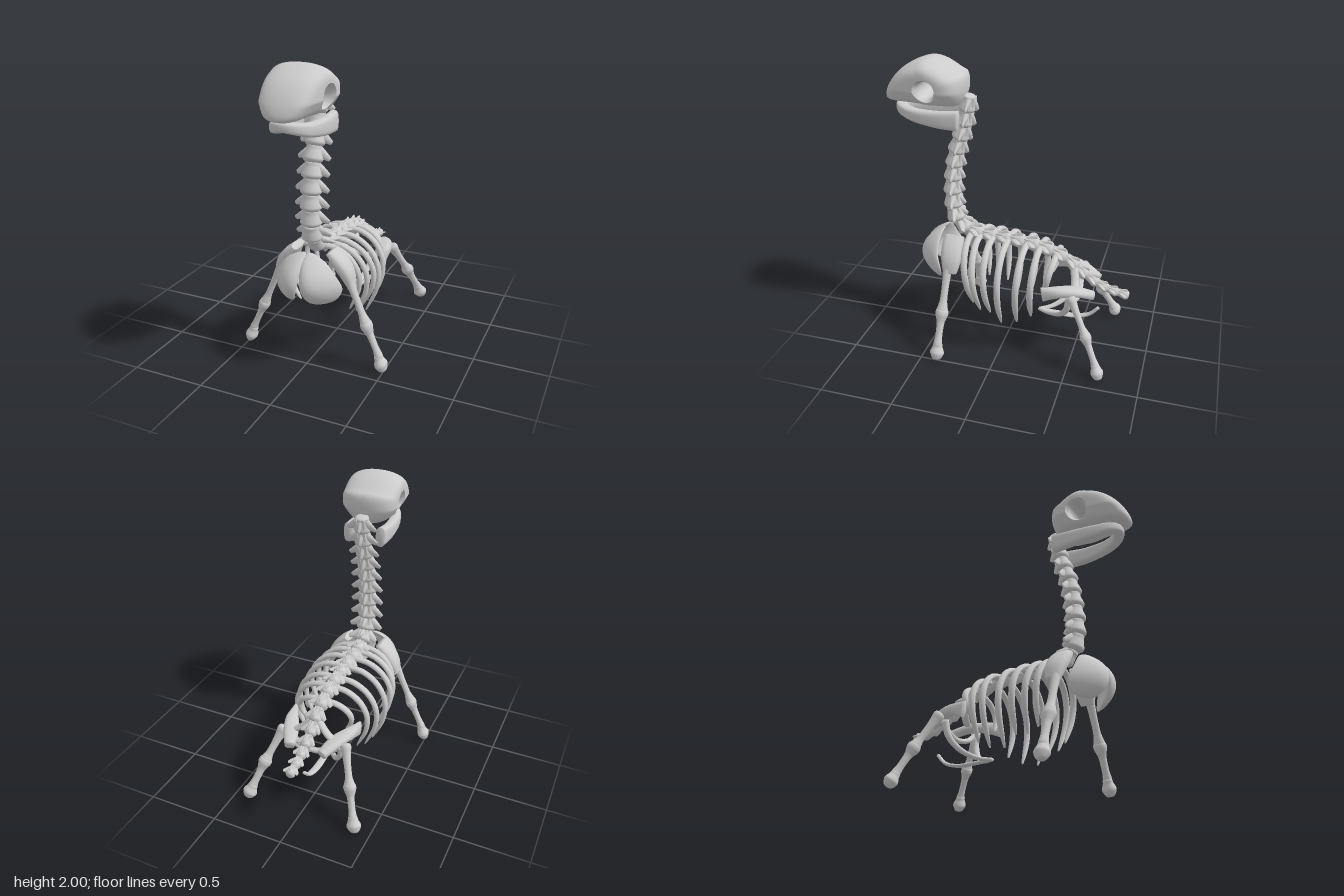
import * as THREE from 'three';
import { mergeGeometries } from 'three/addons/utils/BufferGeometryUtils.js';

const V = (x, y, z) => new THREE.Vector3(x, y, z);
const material = new THREE.MeshStandardMaterial({ color: 0xcccccc, side: THREE.DoubleSide });

function mesh(name, geometry) {
  const m = new THREE.Mesh(geometry, material);
  m.name = name;
  return m;
}

// Surface from rows of points; each row closes on itself
function grid(rows, cols, fn) {
  const pos = [], idx = [];
  for (let r = 0; r < rows; r++) for (let c = 0; c < cols; c++) pos.push(...fn(r, c).toArray());
  for (let r = 0; r < rows - 1; r++) for (let c = 0; c < cols; c++) {
    const a = r * cols + c, b = r * cols + (c + 1) % cols;
    idx.push(a, b, a + cols, b, b + cols, a + cols);
  }
  const g = new THREE.BufferGeometry();
  g.setAttribute('position', new THREE.Float32BufferAttribute(pos, 3));
  g.setIndex(idx);
  g.computeVertexNormals();
  return g;
}

// Capped sweep: radii(t) = [across, along ref], squareness by power
function sweep(points, ref, radii, power = 1, rows = 32, cols = 14) {
  const curve = new THREE.CatmullRomCurve3(points.map(p => V(...p)));
  const bend = v => Math.sign(v) * Math.abs(v) ** power;
  return grid(rows + 3, cols, (r, c) => {
    const t = THREE.MathUtils.clamp((r - 1) / rows, 0, 1);
    const cap = r === 0 || r === rows + 2 ? 0 : 1;
    const T = curve.getTangentAt(t);
    const N = T.clone().cross(ref).normalize(), B = N.clone().cross(T);
    const [ra, rb] = radii(t), a = -c / cols * Math.PI * 2;
    return curve.getPointAt(t).addScaledVector(N, cap * ra * bend(Math.cos(a))).addScaledVector(B, cap * rb * bend(Math.sin(a)));
  });
}

// Turned bone from a to b, slightly flattened; profile pairs are [radius, fraction of length]
function bone(name, a, b, profile) {
  const A = V(...a), d = V(...b).sub(A), len = d.length();
  const pts = new THREE.SplineCurve(profile.map(([r, t]) => new THREE.Vector2(r, t * len))).getPoints(36);
  pts.forEach(p => { p.x = Math.max(p.x, 0); });
  const m = mesh(name, new THREE.LatheGeometry(pts, 18));
  m.position.copy(A);
  m.quaternion.setFromUnitVectors(V(0, 1, 0), d.normalize());
  m.scale.x = .85;
  return m;
}

// Unit vertebra: +z headward, +y dorsal
function vertebraGeometry() {
  const body = new THREE.LatheGeometry(new THREE.SplineCurve([[0, -.62], [.4, -.58], [.62, -.38], [.58, -.12], [.47, .25], [.42, .52], [0, .58]]
    .map(p => new THREE.Vector2(...p))).getPoints(20).map(p => p.setX(Math.max(0, p.x))), 18);
  body.rotateX(Math.PI / 2);
  const horn = (points, ra, rb) => sweep(points, V(0, 0, 1), t => [ra * (1 - .75 * t), rb * (1 - .65 * t)], 1, 8, 10);
  const parts = [body, horn([[0, .2, .15], [0, .5, -.05], [0, .78, -.3]], .22, .4)];
  for (const s of [-1, 1]) {
    parts.push(horn([[s * .25, .1, .1], [s * .65, .14, -.1], [s * 1.0, .18, -.3]], .26, .4));
    parts.push(horn([[s * .2, .35, -.45], [s * .24, .38, 0], [s * .26, .4, .5]], .2, .2));
  }
  parts.forEach(p => p.deleteAttribute('uv'));
  return mergeGeometries(parts);
}

function buildSpine() {
  const group = new THREE.Group();
  group.name = 'spine';
  const curve = new THREE.CatmullRomCurve3([[1.73, .275], [1.55, .315], [1.37, .37], [1.18, .4], [1.02, .405], [.9, .39], [.815, .33],
    [.77, .23], [.75, .03], [.73, -.2], [.665, -.39], [.55, -.55], [.475, -.68], [.44, -.82]].map(([y, z]) => V(0, y, z)));
  const geo = vertebraGeometry(), L = curve.getLength();
  for (let d = .02; d < L;) {
    const u = d / L, tail = THREE.MathUtils.smoothstep(u, .72, 1);
    const trunk = THREE.MathUtils.smoothstep(u, .38, .5);
    const step = .102 - .03 * tail;
    const t = curve.getTangentAt(u).negate(), X = V(1, 0, 0);
    const m = mesh('vertebra', geo);
    m.quaternion.setFromRotationMatrix(new THREE.Matrix4().makeBasis(X, t.clone().cross(X), t));
    m.position.copy(curve.getPointAt(u));
    const w = (.1 + .018 * Math.min(1, u / .35)) * (1 - .34 * trunk) * (1 - .34 * tail);
    m.scale.set(w, w * (.92 + .1 * trunk), step);
    group.add(m);
    d += step;
  }
  return group;
}

// Skull: each half spans from the eye rim to the side outline
function buildSkull() {
  const group = new THREE.Group();
  group.name = 'skull';
  const outline = new THREE.CatmullRomCurve3([[.83, 1.72], [.82, 1.775], [.77, 1.86], [.69, 1.935], [.545, 1.997], [.455, 1.98], [.34, 1.92],
    [.295, 1.895], [.286, 1.79], [.307, 1.73], [.335, 1.697], [.455, 1.694], [.667, 1.698], [.81, 1.705]].map(([z, y]) => V(0, y, z)), true);
  const eye = V(0, 1.812, .513), rings = 24, cols = 96;
  const rim = (p, r) => p.clone().sub(eye).setLength(r).add(eye);
  const width = p => (.19 - .12 * Math.max(0, p.z - .5)) * (1 - 3.2 * Math.max(0, 1.8 - p.y));
  const half = grid(rings + 1, cols, (r, c) => {
    const p = outline.getPointAt(c / cols), s = Math.sin(r / rings * Math.PI / 2);
    const q = rim(p, .077).lerp(p, s);
    const blunt = 3 + 14 * Math.max(0, p.z - .6);
    return q.setX(width(q) * Math.max(0, 1 - s ** blunt) ** .45);
  });
  const socket = grid(3, cols, (r, c) => {
    const q = rim(outline.getPointAt(c / cols), r === 2 ? .077 : .06);
    return q.setX(width(q) * [0, .82, 1][r]);
  });
  addPair(group, mesh('skullHalf', half));
  addPair(group, mesh('eyeSocket', socket));
  return group;
}

function addPair(group, ...parts) {
  for (const side of [1, -1]) {
    const g = new THREE.Group();
    g.name = (side > 0 ? 'left ' : 'right ') + parts[0].name;
    g.scale.x = side;
    parts.forEach(p => g.add(p.clone()));
    group.add(g);
  }
}

// Breastbone leaf: rounded plate bent backward at its rim
function chestPlate() {
  const outline = new THREE.CatmullRomCurve3([[.005, .79], [.12, .755], [.2, .66], [.23, .56], [.18, .48], [.075, .475], [.035, .53], [.005, .65]]
    .map(([x, y]) => V(x, y, 0)), true);
  const centre = V(.12, .61, 0), n = 24, cols = 56;
  return grid(n + 1, cols, (r, c) => {
    const a = (r / n - .5) * Math.PI;
    const p = centre.clone().lerp(outline.getPointAt(c / cols), Math.cos(a));
    return p.setZ(.605 - 3 * p.x ** 2 - 3.6 * (p.y - .6) ** 2 + .045 * Math.sin(a));
  });
}

export function createModel() {
  const model = new THREE.Group();
  model.name = 'skeleton';
  model.add(buildSpine(), buildSkull());
  const Y = V(0, 1, 0), Z = V(0, 0, 1);

  // Lower jaw, a horseshoe open at the back
  const jawSide = [[.115, 1.62, .31], [.122, 1.62, .45], [.1, 1.635, .63], [.06, 1.655, .71]];
  const jaw = [...jawSide, [0, 1.665, .735], ...jawSide.map(([x, y, z]) => [-x, y, z]).reverse()];
  model.add(mesh('lowerJaw', sweep(jaw, Y, t => {
    const m = Math.abs(2 * t - 1);
    return [.04 - .008 * m, .03 + .037 * m];
  }, .65, 60, 24)));

  // Ribs: [top z, top y, half width, tip y, tip z]
  const ribs = [[.27, .77, .27, .31, .215], [.205, .765, .3, .27, .155], [.115, .76, .315, .27, .08], [.005, .755, .315, .2, 0],
    [-.13, .745, .3, .22, -.11], [-.225, .73, .27, .27, -.205], [-.34, .69, .195, .45, -.285]];
  for (const [z, y, w, tipY, tipZ] of ribs) {
    const at = (fx, fy) => [w * fx, y + (tipY - y) * fy, z + (tipZ - z) * fy];
    addPair(model, mesh('rib', sweep([at(.06, 0), at(.45, .03), at(.78, .16), at(.97, .38), at(.95, .65), at(.7, 1)], Z,
      t => [.018 * (1 - .75 * t ** 6), .023 * (1 - .75 * t ** 8)])));
  }

  // Shoulder and breast
  addPair(model, mesh('chestPlate', chestPlate()));
  addPair(model, mesh('shoulderBlade', sweep([[.12, .785, .36], [.17, .73, .36], [.225, .65, .355], [.26, .565, .355]], Z,
    t => [.026 + .018 * Math.sin(t * Math.PI), .07 + .022 * Math.sin(t * 2.6) - .035 * t], .8)));

  // Legs: upper bone, lower bone and foot
  const upper = [[0, -.03], [.032, 0], [.04, .08], [.033, .22], [.026, .5], [.026, .78], [.034, .9], [.037, .98], [0, 1.03]];
  const lower = [[0, -.08], [.038, -.05], [.046, .06], [.036, .18], [.027, .3], [.025, .6], [.03, .85], [0, .95]];
  const foot = [[0, 0], [.03, .04], [.036, .25], [.05, .55], [.044, .75], [.026, .97], [0, 1]];
  const legs = { front: [[.22, .67, .37], [.37, .32, .38], [.487, .06, .387], [.458, .115, .385], [.5, .005, .388]],
    hind: [[.225, .5, -.485], [.312, .275, -.61], [.39, .05, -.72], [.37, .105, -.693], [.405, .008, -.732]] };
  for (const [name, [top, knee, ankle, heel, toe]] of Object.entries(legs)) {
    addPair(model, bone(name + 'UpperLeg', top, knee, upper), bone(name + 'LowerLeg', knee, ankle, lower), bone(name + 'Foot', heel, toe, foot));
  }

  // Pelvis: side blades, struts to the spine and curved lower bones
  addPair(model,
    mesh('hipBlade', sweep([[.24, .495, -.29], [.21, .515, -.4], [.165, .51, -.5], [.115, .47, -.62]], Y,
      t => [.018 + .034 * Math.sin(t * Math.PI * .85), .055 - .07 * t + .045 * t * t], .85)),
    mesh('hipStrut', sweep([[.17, .5, -.5], [.1, .54, -.49], [.01, .63, -.46]], Z, () => [.02, .028])),
    mesh('pubicBone', sweep([[.185, .46, -.47], [.17, .36, -.45], [.12, .28, -.4], [.05, .225, -.31], [0, .212, -.22]], Z,
      t => [.02 - .008 * t, .026 - .012 * t])));
  model.add(mesh('pelvicArch', sweep([[-.19, .46, -.48], [-.12, .41, -.49], [0, .385, -.5], [.12, .41, -.49], [.19, .46, -.48]], Z,
    () => [.018, .022])));
  model.add(mesh('pelvicKeel', sweep([[0, .212, -.22], [0, .205, -.36], [0, .205, -.48], [0, .235, -.58], [0, .3, -.645]], V(1, 0, 0),
    t => [.012, .012 + .014 * Math.sin(t * Math.PI)])));
  return model;
}
